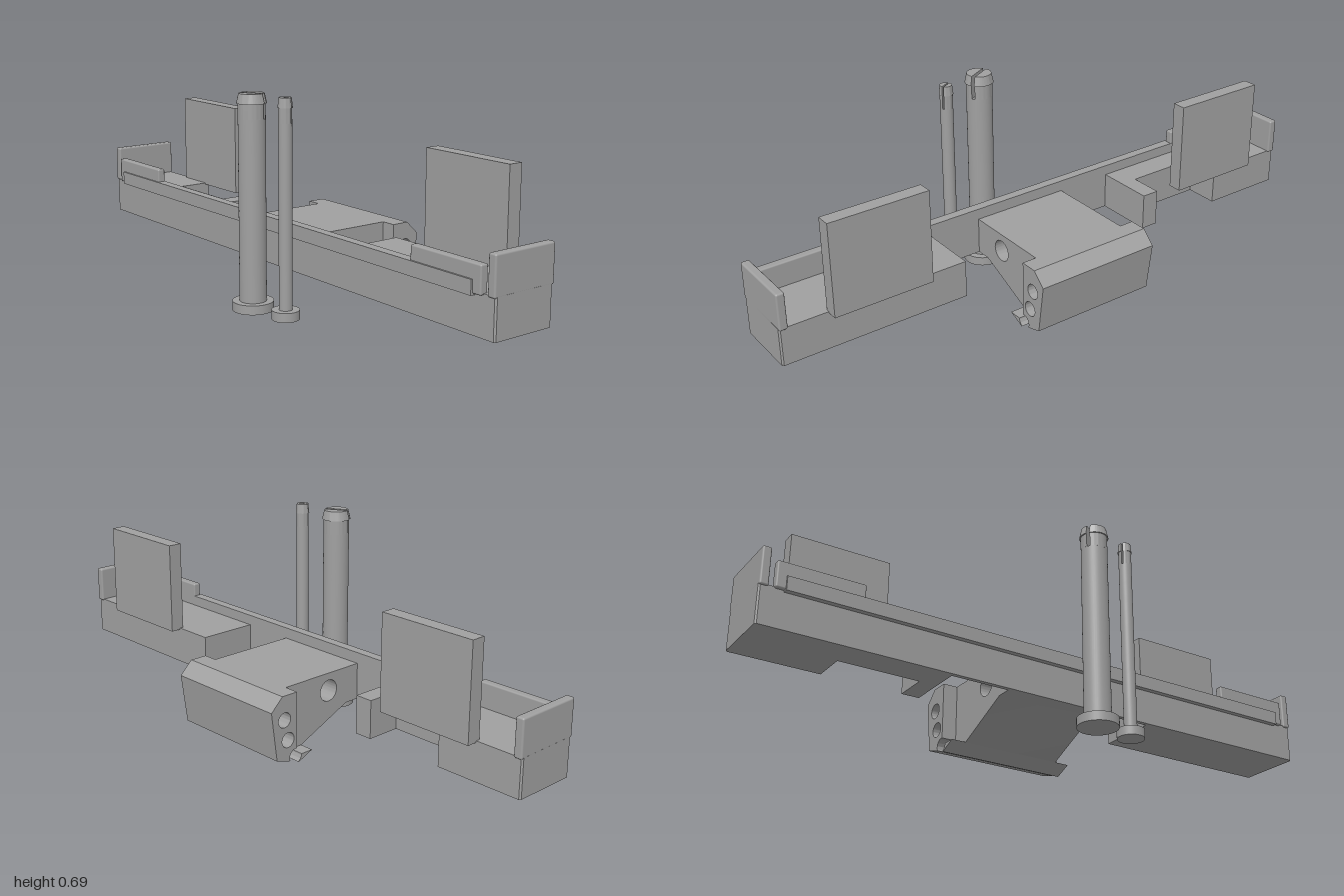
import * as THREE from 'three';
import { toCreasedNormals } from 'three/addons/utils/BufferGeometryUtils.js';
import { RoundedBoxGeometry } from 'three/addons/geometries/RoundedBoxGeometry.js';

export function createModel() {
  const grey = new THREE.MeshStandardMaterial({ color: 0xa0a0a0 });
  grey.name = 'plainGrey';
  const model = new THREE.Group();
  model.name = 'bracketSet';

  const add = (name, geometry, parent = model) => {
    const mesh = new THREE.Mesh(geometry, grey);
    mesh.name = name;
    parent.add(mesh);
    return mesh;
  };
  const shapeOf = (points) => new THREE.Shape(points.map(([a, b]) => new THREE.Vector2(a, b)));
  const extrude = (shape, depth) =>
    new THREE.ExtrudeGeometry(shape, { depth, bevelEnabled: false, curveSegments: 24 });

  // box from its limits, with slightly eased edges when r is given
  const box = (name, x0, x1, y0, y1, z0, z1, r = 0) => {
    const size = [x1 - x0, y1 - y0, z1 - z0];
    const geometry = r ? new RoundedBoxGeometry(...size, 2, r) : new THREE.BoxGeometry(...size);
    return add(name, geometry.translate((x0 + x1) / 2, (y0 + y1) / 2, (z0 + z1) / 2));
  };
  // side profile in (z, y), extruded across x
  const acrossX = (name, shape, halfWidth) => {
    const g = extrude(shape, halfWidth * 2).translate(0, 0, -halfWidth).rotateY(-Math.PI / 2);
    return add(name, toCreasedNormals(g, 0.6));
  };
  const hole = (shape, z, y, r) => shape.holes.push(new THREE.Path().absarc(z, y, r, 0, Math.PI * 2, true));

  // bar with end blocks, footprint as (x, -z)
  const footprint = shapeOf([
    [-0.99, -0.125], [0.99, -0.125], [0.995, -0.12], [0.995, 0.09], [0.99, 0.095],
    [0.36, 0.095], [0.36, -0.11], [-0.37, -0.11], [-0.37, 0.095], [-0.43, 0.095],
    [-0.43, -0.02], [-0.70, -0.02], [-0.70, 0.095], [-0.99, 0.095], [-0.995, 0.09], [-0.995, -0.12],
  ]);
  add('bar', extrude(footprint, 0.125).rotateX(-Math.PI / 2).translate(0, 0.115, 0));
  box('frontRail', -0.92, 0.92, 0.23, 0.275, 0.11, 0.143);

  // mirrored end fittings
  for (const s of [-1, 1]) {
    const span = (a, b) => (s > 0 ? [a, b] : [-b, -a]);
    box('endEar', ...span(0.967, 0.995), 0.235, 0.357, -0.1, 0.13, 0.006);
    box('frontLip', ...span(0.675, 0.95), 0.235, 0.32, 0.11, 0.137, 0.005);
    box('uprightPlate', ...span(0.5, 0.835), 0.235, 0.545, -0.13, -0.082);
  }

  // neck of the central bracket, with a cross hole
  const neck = shapeOf([
    [0.115, 0.238], [-0.206, 0.238], [-0.206, 0.05], [-0.185, 0.025], [-0.14, 0.025], [0.06, 0.115], [0.115, 0.115],
  ]);
  hole(neck, -0.02, 0.178, 0.036);
  acrossX('bracketNeck', neck, 0.172);

  // wide head with two cross holes and a round channel underneath
  const cz = -0.21, cy = 0.025, r = 0.025;
  const head = shapeOf([
    [-0.205, 0.05], [-0.205, 0.238], [-0.265, 0.238], [-0.31, 0.195], [-0.288, 0.03], [-0.233, 0.014],
  ]);
  head.absarc(cz, cy, r, Math.PI + 0.45, 1.37, true);
  hole(head, -0.256, 0.158, 0.025);
  hole(head, -0.242, 0.088, 0.025);
  acrossX('bracketHead', head, 0.222);

  // hooked tongue below the head
  const tongue = shapeOf([[-0.185, 0.025], [-0.197, 0], [-0.14, 0.025]]);
  const hook = new THREE.Shape();
  hook.moveTo(-0.14, 0.025);
  hook.lineTo(cz + r, cy);
  hook.absarc(cz, cy, r, 0, -1.16, true);
  hook.lineTo(-0.197, 0);
  hook.closePath();
  acrossX('bracketTongue', tongue.curves.length ? hook : tongue, 0.222);

  // half disc on one side of a slot, extruded up and tapered towards the top
  const halfDisc = (radius, gap, y0, y1, taper) => {
    const a = Math.asin(gap / radius);
    const s = new THREE.Shape();
    s.absarc(0, 0, radius, a, Math.PI - a, false);
    s.closePath();
    const g = extrude(s, y1 - y0).rotateX(-Math.PI / 2).translate(0, y0, 0);
    const p = g.attributes.position;
    for (let i = 0; i < p.count; i++) {
      if (p.getY(i) > y1 - 1e-4) p.setXYZ(i, p.getX(i) * taper, p.getY(i), -gap + (p.getZ(i) + gap) * taper);
    }
    return toCreasedNormals(g, 0.6);
  };

  // loose pins: foot, shaft and a split snap tip
  const pin = (name, x, z, radius, footRadius) => {
    const group = new THREE.Group();
    group.name = name;
    group.position.set(x, 0, z);
    add('pinFoot', new THREE.CylinderGeometry(footRadius, footRadius, 0.03, 40).translate(0, 0.015, 0), group);
    add('pinShaft', new THREE.CylinderGeometry(radius, radius, 0.58, 40).translate(0, 0.32, 0), group);
    for (const turn of [0, Math.PI]) {
      const gap = radius * 0.13;
      const half = new THREE.Group();
      half.name = 'snapTipHalf';
      half.rotation.y = turn + 0.5;
      add('tipStem', halfDisc(radius, gap, 0.61, 0.657, 1), half);
      add('tipCatch', halfDisc(radius * 1.1, gap, 0.657, 0.688, 0.84), half);
      group.add(half);
    }
    model.add(group);
  };
  pin('largePin', 0.067, 0.244, 0.043, 0.066);
  pin('smallPin', 0.209, 0.222, 0.021, 0.044);

  return model;
}
